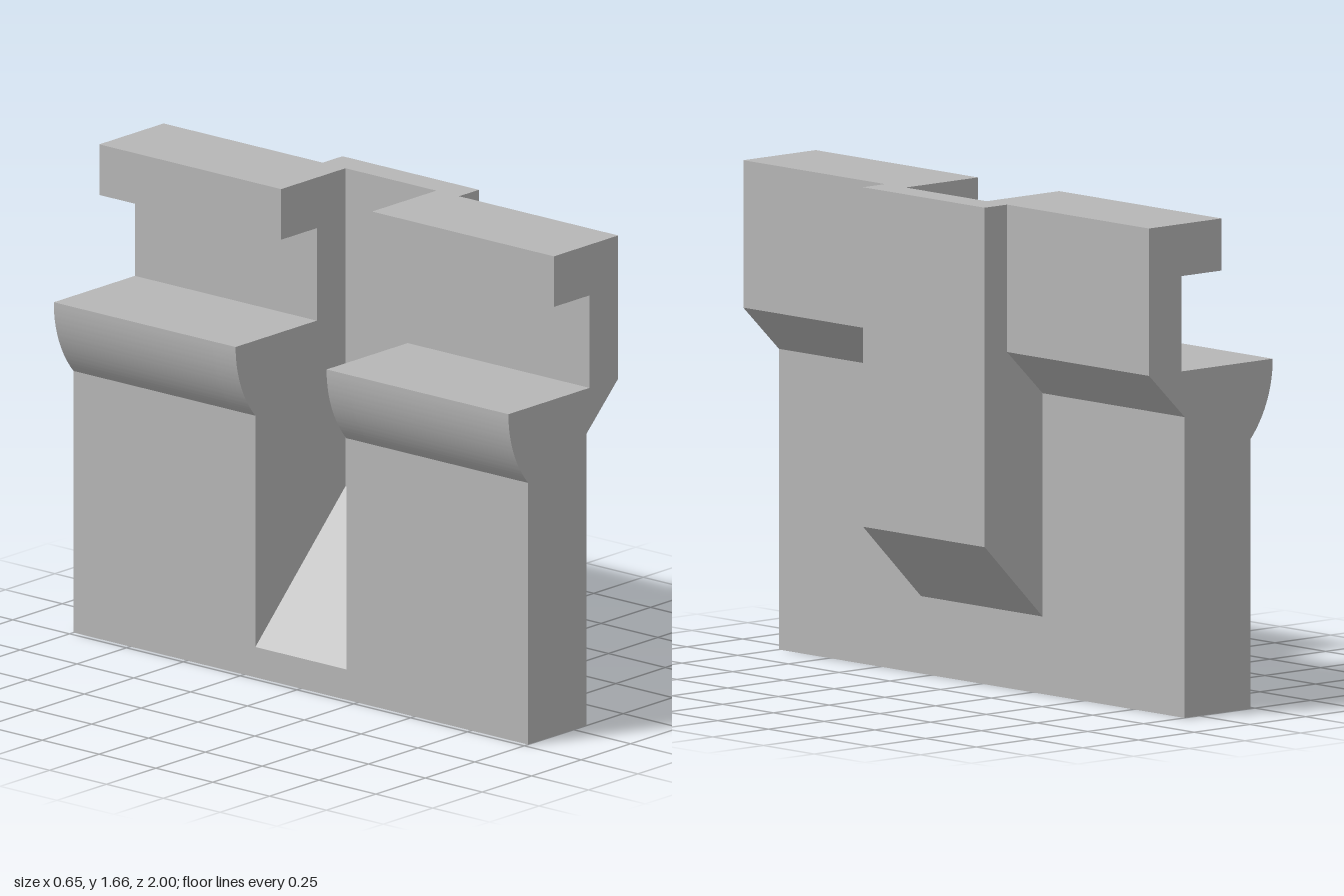
import * as THREE from 'three';
import { toCreasedNormals } from 'three/addons/utils/BufferGeometryUtils.js';

const TOP = 1.66, SHELF = 1.165;
const ARC_R = 0.388, ARC_X = -0.33 + ARC_R;

// Lower right side of the thickened spine, shared by the cheeks and the web
const spineSide = [[0.065, 0.26], [0.325, 0.52], [0.325, TOP]];
// Plain right side with the small chamfer under the hook
const plainSide = [[0.065, 1.01], [0.225, SHELF], [0.225, TOP]];

// Hooked section: foot, back side, overhanging lip, shelf and rounded nose
function hookProfile(side) {
  const s = new THREE.Shape();
  s.moveTo(-0.23, 0);
  s.lineTo(0.065, 0);
  for (const [x, y] of side) s.lineTo(x, y);
  s.lineTo(-0.1, TOP);
  s.lineTo(-0.1, 1.485);
  s.lineTo(0.08, 1.485);
  s.lineTo(0.08, SHELF);
  s.lineTo(-0.33, SHELF);
  s.absarc(ARC_X, SHELF, ARC_R, Math.PI, Math.PI + Math.acos((ARC_X + 0.23) / ARC_R), false);
  s.closePath();
  return s;
}

// Middle section: the slot leaves a sloped floor and a thin upright web
function webProfile() {
  const pts = [[-0.23, 0], [0.065, 0], ...spineSide, [0.225, TOP], [0.225, 0.56], [-0.23, 0.105]];
  return new THREE.Shape(pts.map(([x, y]) => new THREE.Vector2(x, y)));
}

export function createModel() {
  const model = new THREE.Group();
  model.name = 'slottedHookBracket';
  const grey = new THREE.MeshStandardMaterial({ color: 0xb6b6b6 });
  grey.name = 'grey';

  const addSection = (name, shape, z0, z1) => {
    const geo = new THREE.ExtrudeGeometry(shape, { depth: z1 - z0, bevelEnabled: false, curveSegments: 20 });
    geo.translate(0, 0, z0);
    const mesh = new THREE.Mesh(toCreasedNormals(geo, 0.4), grey);
    mesh.name = name;
    model.add(mesh);
  };

  // Long hooked ends
  addSection('frontHookSection', hookProfile(plainSide), 0.3, 1);
  addSection('backHookSection', hookProfile(plainSide), -1, -0.3);
  // Narrow cheeks beside the slot, thickened by the spine
  addSection('frontCheek', hookProfile(spineSide), 0.2, 0.3);
  addSection('backCheek', hookProfile(spineSide), -0.3, -0.2);
  // Slot floor and web
  addSection('slotWeb', webProfile(), -0.2, 0.2);

  return model;
}
